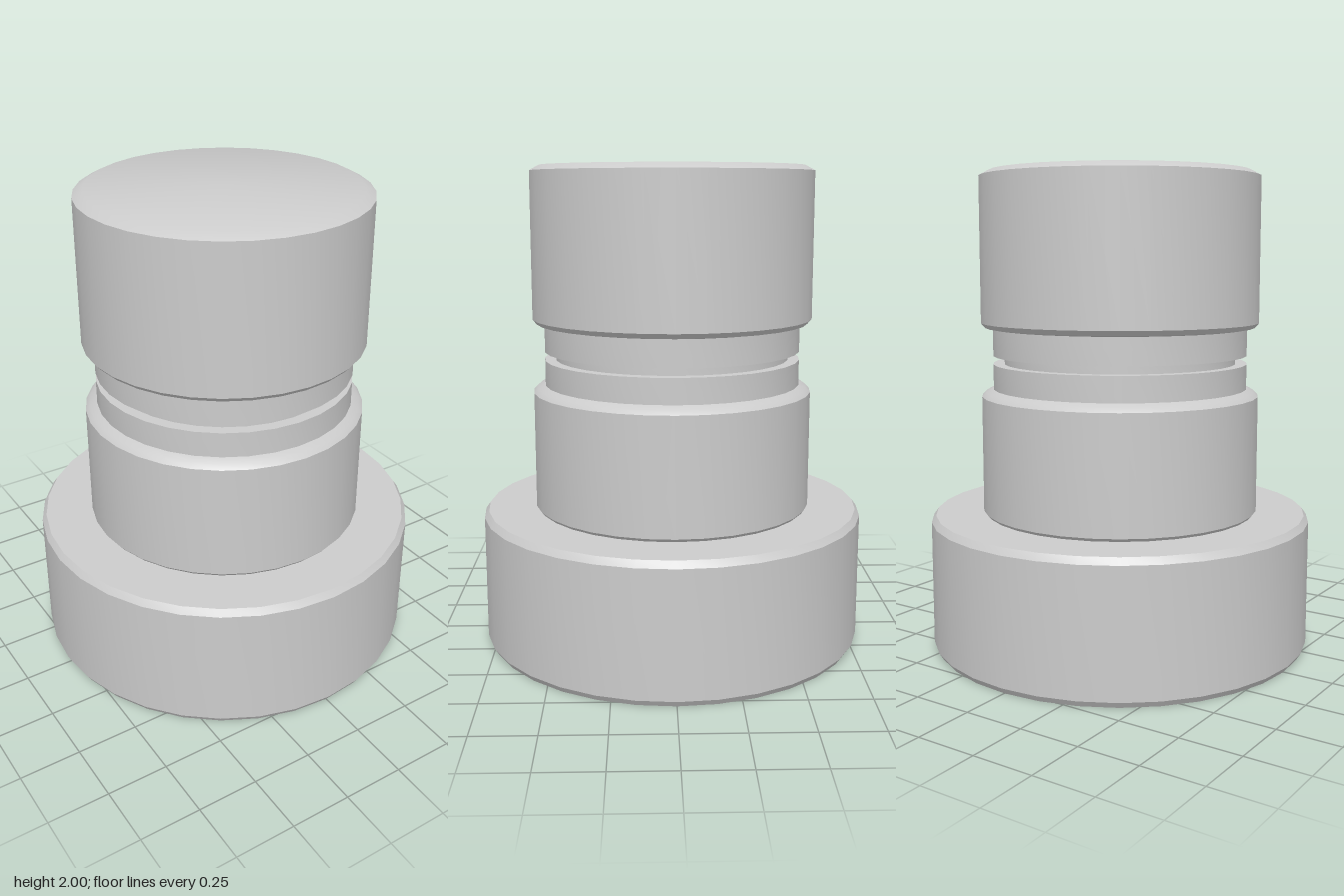
import * as THREE from 'three';
import { toCreasedNormals } from 'three/addons/utils/BufferGeometryUtils.js';

const material = new THREE.MeshStandardMaterial({ color: 0xcccccc });

// Turned part from a [radius, height] profile listed bottom to top
function turned(name, profile) {
  const points = profile.map(([r, y]) => new THREE.Vector2(r, y));
  const lathe = new THREE.LatheGeometry(points, 32);
  const mesh = new THREE.Mesh(toCreasedNormals(lathe, THREE.MathUtils.degToRad(30)), material);
  mesh.name = name;
  return mesh;
}

export function createModel() {
  const model = new THREE.Group();
  model.name = 'turnedKnob';

  // Wide foot with chamfered rims
  model.add(turned('base', [
    [0, 0], [0.79, 0], [0.806, 0.025], [0.806, 0.545], [0.787, 0.572], [0.575, 0.572],
  ]));

  // Lower cylinder with a bevelled shoulder
  model.add(turned('lowerStem', [
    [0.575, 0.572], [0.586, 0.585], [0.586, 1.07], [0.568, 1.088], [0.537, 1.1],
  ]));

  // Narrow neck with a groove cut around its middle
  model.add(turned('groovedNeck', [
    [0.537, 1.1], [0.537, 1.205], [0.49, 1.205], [0.49, 1.24], [0.537, 1.24], [0.537, 1.352],
  ]));

  // Upper cylinder with a softly rounded top
  model.add(turned('head', [
    [0.537, 1.352], [0.568, 1.357], [0.586, 1.377], [0.586, 1.978], [0.545, 2], [0, 2],
  ]));

  return model;
}
